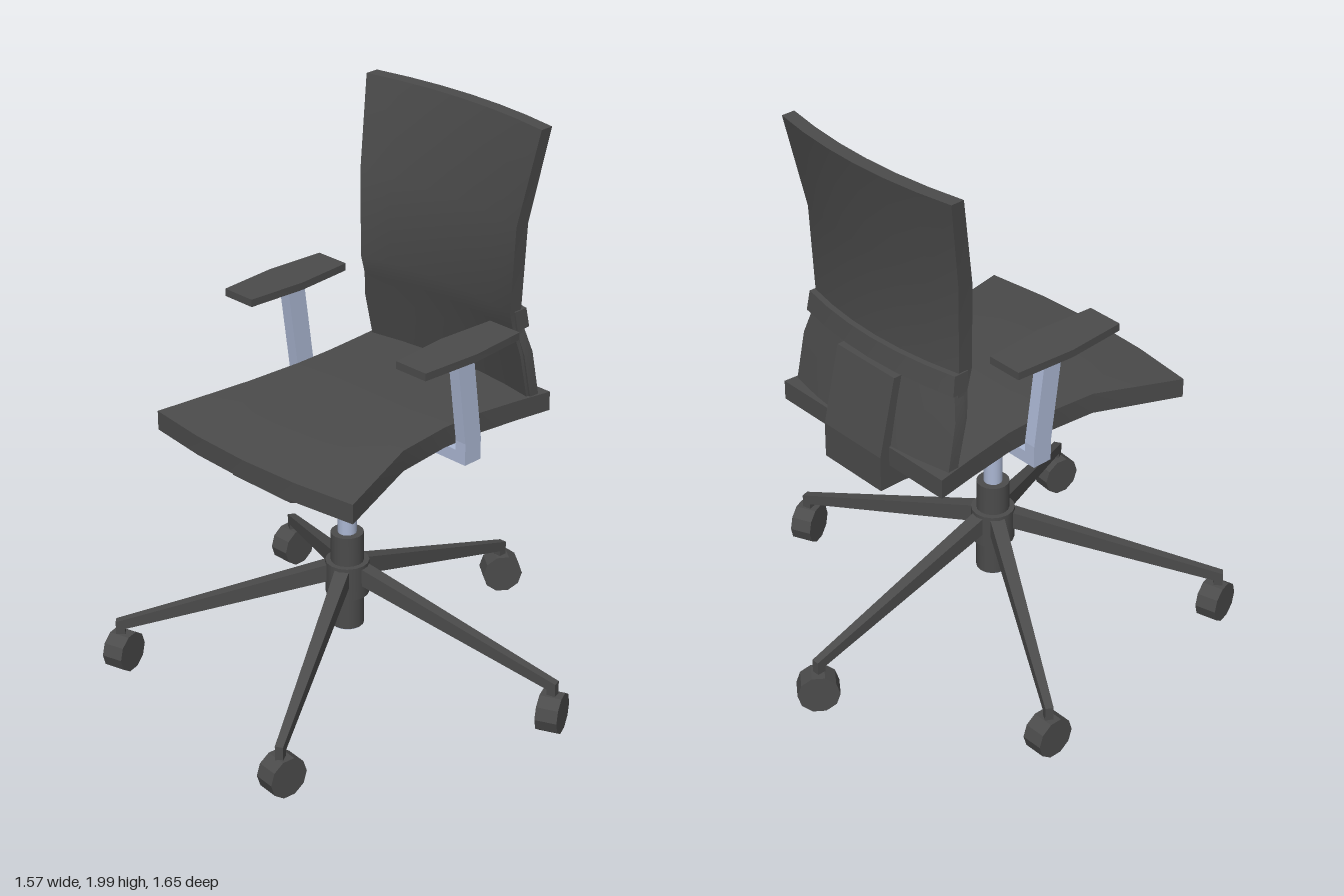
import * as THREE from 'three';
import { toCreasedNormals } from 'three/addons/utils/BufferGeometryUtils.js';

const CX = -0.055; // plane of symmetry of seat and back
const CZ = 0.06;   // column axis

// Closed solid lofted through rows. point(row, u, side) gives [x, y, z], u runs -1..1,
// side 0 is the front or top skin, side 1 the back or bottom skin.
function loft(rows, cols, point, crease = 0.5) {
  const pos = [];
  const quad = (a, b, c, d) => pos.push(...a, ...b, ...c, ...a, ...c, ...d);
  const rings = rows.map(row => [0, 1].map(side =>
    Array.from({ length: cols + 1 }, (_, i) => point(row, (2 * i) / cols - 1, side))));
  for (let r = 0; r < rows.length - 1; r++) {
    const [f0, b0] = rings[r], [f1, b1] = rings[r + 1];
    for (let i = 0; i < cols; i++) {
      quad(f0[i], f0[i + 1], f1[i + 1], f1[i]);
      quad(b0[i + 1], b0[i], b1[i], b1[i + 1]);
    }
    quad(f0[cols], b0[cols], b1[cols], f1[cols]);
    quad(b0[0], f0[0], f1[0], b1[0]);
  }
  const [fs, bs] = rings[0], [fe, be] = rings[rows.length - 1];
  for (let i = 0; i < cols; i++) {
    quad(fs[i + 1], fs[i], bs[i], bs[i + 1]);
    quad(fe[i], fe[i + 1], be[i + 1], be[i]);
  }
  const g = new THREE.BufferGeometry();
  g.setAttribute('position', new THREE.Float32BufferAttribute(pos, 3));
  return toCreasedNormals(g, crease);
}

export function createModel() {
  const model = new THREE.Group();
  model.name = 'officeChair';
  const dark = new THREE.MeshStandardMaterial({ name: 'charcoal', color: 0x4b4b4b });
  const steel = new THREE.MeshStandardMaterial({ name: 'blueGreySteel', color: 0xabb7d3 });
  const add = (name, geometry, material, parent = model) => {
    const mesh = new THREE.Mesh(geometry, material);
    mesh.name = name;
    parent.add(mesh);
    return mesh;
  };

  // Seat: [z, half width, top y, bottom y, front bow]
  const seatRows = [
    [0.534, 0.47, 1.01, 0.94, 0.04], [0.165, 0.37, 1.045, 0.97, 0],
    [-0.05, 0.352, 1.047, 0.972, 0], [-0.2, 0.355, 1.045, 0.97, 0],
    [-0.38, 0.375, 1.037, 0.965, 0], [-0.525, 0.395, 1.03, 0.96, 0],
  ];
  add('seat', loft(seatRows, 4, ([z, w, top, bottom, bow], u, side) =>
    [CX + u * w, side ? bottom : top, z - bow * u * u]), dark);

  // Curved back panels: [y, half width, centre front z, centre back z]
  const backPanel = (name, rows) => add(name, loft(rows, 6, ([y, w, front, back], u, side) =>
    [CX + u * w, y, (side ? back : front) + 0.042 * u * u]), dark);
  backPanel('backrest', [
    [1.03, 0.37, -0.475, -0.505], [1.2, 0.37, -0.437, -0.475], [1.29, 0.352, -0.418, -0.46],
    [1.36, 0.352, -0.4, -0.455], [1.67, 0.363, -0.408, -0.465], [2, 0.4, -0.476, -0.526],
  ]);
  backPanel('backrestLip', [[1.29, 0.362, -0.43, -0.487], [1.36, 0.357, -0.42, -0.476]]);
  backPanel('lowerBackShell', [
    [1.0, 0.38, -0.49, -0.53], [1.2, 0.376, -0.45, -0.492], [1.31, 0.345, -0.43, -0.468],
  ]);

  // Mechanism under the seat with the bracket rising behind the back
  const profile = new THREE.Shape([
    [0.455, 0.955], [0.455, 0.875], [0.26, 0.805], [0.06, 0.78], [-0.14, 0.828], [-0.465, 0.875],
    [-0.562, 0.875], [-0.562, 1.003], [-0.498, 1.28], [-0.45, 1.28], [-0.5, 1.0], [-0.49, 0.97],
    [0.15, 0.975],
  ].map(p => new THREE.Vector2(...p)));
  const mechanism = new THREE.ExtrudeGeometry(profile, { depth: 0.28, bevelEnabled: false });
  mechanism.rotateY(-Math.PI / 2).translate(CX + 0.14, 0, 0);
  add('mechanismAndBackBracket', mechanism, dark);

  // Armrests, mirrored about the seat's centre plane
  for (const s of [-1, 1]) {
    const arm = new THREE.Group();
    arm.name = s > 0 ? 'leftArmrest' : 'rightArmrest';
    model.add(arm);
    const x = CX + s * 0.407;
    add('armPad', loft([[0.172, 0.066], [-0.05, 0.082], [-0.272, 0.066]], 2,
      ([z, w], u, side) => [x + u * w, side ? 1.333 : 1.36, z]), dark, arm);
    add('armPost', loft([[0.92, -0.075], [1.0, -0.075], [1.34, -0.03]], 1,
      ([y, z], u, side) => [CX + s * 0.4 + u * 0.022, y, z - side * 0.075], 0.1), steel, arm);
  }
  const crossBar = new THREE.BoxGeometry(0.8, 0.045, 0.075);
  add('armCrossBar', crossBar, steel).position.set(CX, 0.9425, -0.1125);

  // Central column: [name, radius, bottom, top, material]
  for (const [name, r, y0, y1, material] of [
    ['gasPiston', 0.033, 0.5, 0.82, steel], ['columnSleeve', 0.058, 0.2, 0.56, dark],
    ['baseHub', 0.077, 0.325, 0.45, dark], ['columnEndCap', 0.054, 0.196, 0.204, steel],
  ]) {
    add(name, new THREE.CylinderGeometry(r, r, y1 - y0, 16), material)
      .position.set(CX, (y0 + y1) / 2, CZ);
  }

  // Five legs with swivelled casters: [caster x, caster z, axle angle in degrees]
  const legRows = [[-0.03, 0.026, 0.452, 0.385], [-0.815, 0.014, 0.197, 0.16]];
  const legGeometry = loft(legRows, 1, ([z, w, top, bottom], u, side) =>
    [u * w, side ? bottom : top, z], 0.1);
  const stemGeometry = new THREE.BoxGeometry(0.028, 0.1, 0.032);
  const wheelGeometry = toCreasedNormals(
    new THREE.CylinderGeometry(0.073, 0.073, 0.078, 10).rotateZ(Math.PI / 2), 0.3);
  for (const [x, z, degrees] of [
    [-0.06, -0.745, 36], [-0.75, -0.33, 0], [0.715, -0.155, -24],
    [-0.62, 0.615, -15], [0.335, 0.745, 6],
  ]) {
    const leg = new THREE.Group();
    leg.name = 'baseLeg';
    leg.position.set(CX, 0, CZ);
    leg.rotation.y = Math.atan2(CX - x, CZ - z);
    model.add(leg);
    add('legBeam', legGeometry, dark, leg);
    add('casterStem', stemGeometry, dark, leg).position.set(0, 0.125, -0.799);
    const wheel = add('casterWheel', wheelGeometry, dark);
    wheel.position.set(x, 0.079, z);
    wheel.rotation.y = -THREE.MathUtils.degToRad(degrees);
  }
  return model;
}
